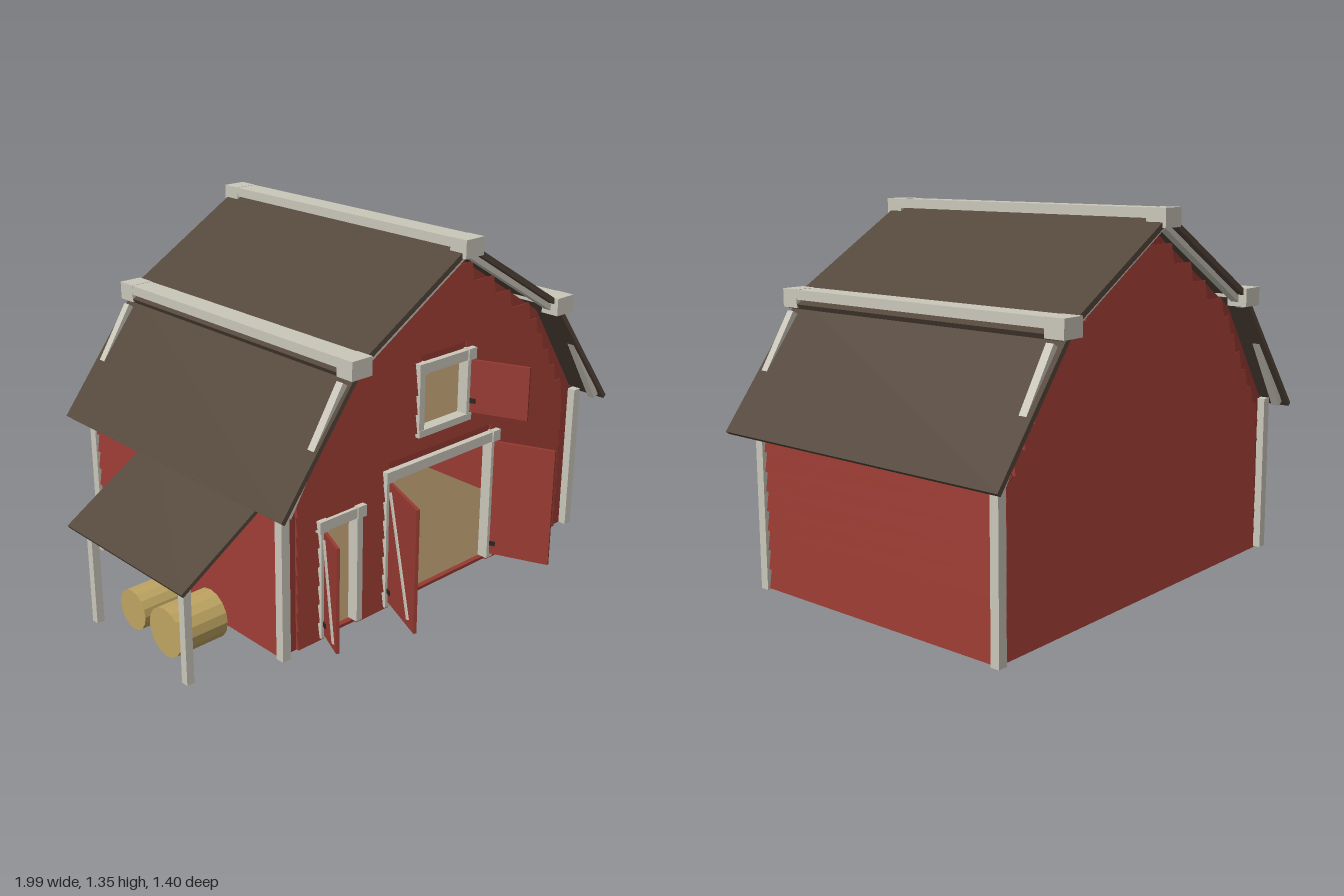
import * as THREE from 'three';

const mat = (name, color, extra = {}) => Object.assign(new THREE.MeshStandardMaterial({ color, ...extra }), { name });

export function createModel() {
  const red = mat('barn red', 0x973a32, { side: THREE.DoubleSide });
  const roofBrown = mat('roof brown', 0x54473b);
  const trim = mat('trim off-white', 0xcac6ba);
  const hay = mat('hay', 0xbfa562, { flatShading: true });
  const plank = mat('floor tan', 0x8a7353);
  const iron = mat('iron', 0x2b2422);

  const model = new THREE.Group();
  model.name = 'barn';
  const CX = 0.1475; // centre line of the main building
  const FRONT = 0.455, BACK = -0.605, MID = (FRONT + BACK) / 2;

  const add = (name, geo, material, parent = model) => {
    const m = new THREE.Mesh(geo, material);
    m.name = name;
    parent.add(m);
    return m;
  };
  // box given by its extents
  const box = (name, material, x0, x1, y0, y1, z0, z1, parent = model) => {
    const m = add(name, new THREE.BoxGeometry(x1 - x0, y1 - y0, z1 - z0), material, parent);
    m.position.set((x0 + x1) / 2, (y0 + y1) / 2, (z0 + z1) / 2);
    return m;
  };
  // sloped slab whose top edge runs from (xa, ya) to (xb, yb)
  const slab = (name, material, xa, ya, xb, yb, t, z0, z1) => {
    const len = Math.hypot(xb - xa, yb - ya);
    const geo = new THREE.BoxGeometry(len, t, z1 - z0);
    geo.translate(0, (xb > xa ? -1 : 1) * t / 2, 0);
    const m = add(name, geo, material);
    m.position.set((xa + xb) / 2, (ya + yb) / 2, (z0 + z1) / 2);
    m.rotation.z = Math.atan2(yb - ya, xb - xa);
    return m;
  };

  // openings in the front wall: x0, x1, y0, y1
  const openings = [
    [-0.12, 0.42, 0.012, 0.51],
    [-0.435, -0.28, 0.012, 0.425],
    [0.03, 0.265, 0.65, 0.87],
  ];

  // gable walls
  const gable = (holes) => {
    const s = new THREE.Shape();
    [[-0.765, 0], [0.765, 0], [0.765, 0.59], [0.515, 0.965], [0, 1.285], [-0.515, 0.965], [-0.765, 0.59]]
      .forEach(([u, y], i) => (i ? s.lineTo(u + CX, y) : s.moveTo(u + CX, y)));
    s.closePath();
    for (const [a, b, c, d] of holes) {
      const h = new THREE.Path();
      h.moveTo(a, c); h.lineTo(a, d); h.lineTo(b, d); h.lineTo(b, c); h.closePath();
      s.holes.push(h);
    }
    return new THREE.ExtrudeGeometry(s, { depth: 0.02, bevelEnabled: false });
  };
  add('frontWall', gable(openings), red).position.z = FRONT - 0.02;
  add('backWall', gable([]), red).position.z = BACK;
  for (const s of [-1, 1]) {
    const x = CX + s * 0.755;
    box('sideWall', red, x - 0.01, x + 0.01, 0, 0.6, BACK, FRONT);
  }

  // floors
  box('groundFloor', plank, CX - 0.74, CX + 0.74, 0.001, 0.012, BACK + 0.02, FRONT - 0.015);
  box('loftFloor', plank, CX - 0.74, CX + 0.74, 0.575, 0.59, BACK + 0.02, FRONT - 0.02);

  // lapped siding boards; each is a wedge, thickest at its lower edge
  const board = (parent, a, b, y, h) => {
    const s = new THREE.Shape();
    s.moveTo(0, 0); s.lineTo(0.014, 0); s.lineTo(0.003, h); s.lineTo(0, h); s.closePath();
    const geo = new THREE.ExtrudeGeometry(s, { depth: b - a, bevelEnabled: false });
    geo.rotateY(-Math.PI / 2);
    add('sidingBoard', geo, red, parent).position.set(b, y, 0);
  };
  const siding = (name, x, z, angle) => {
    const g = new THREE.Group();
    g.name = name;
    g.position.set(x, 0, z);
    g.rotation.y = angle;
    model.add(g);
    return g;
  };
  const PITCH = 0.0715;
  const gableHalf = [0.69, 0.645, 0.6, 0.555, 0.515, 0.465, 0.35, 0.255, 0.135];
  const frontSiding = siding('frontSiding', CX, FRONT, 0);
  const backSiding = siding('backSiding', CX, BACK, Math.PI);
  for (let i = 0; i < 17; i++) {
    const y = i * PITCH + 0.003, half = i < 8 ? 0.73 : gableHalf[i - 8];
    board(backSiding, -half, half, y, PITCH);
    // front rows stop at the openings
    let from = -(i < 8 ? 0.7 : half);
    const end = -from;
    const cuts = openings.filter((o) => y + PITCH > o[2] + 0.01 && y < o[3]).sort((p, q) => p[0] - q[0]);
    for (const o of cuts) {
      board(frontSiding, from, o[0] - CX, y, PITCH);
      from = o[1] - CX;
    }
    board(frontSiding, from, end, y, PITCH);
  }
  for (const s of [-1, 1]) {
    const g = siding('sideSiding', CX + s * 0.765, MID, s * Math.PI / 2);
    for (let i = 0; i < 8; i++) board(g, -0.525, 0.525, 0.006 + i * 0.0705, 0.0705);
  }

  // corner posts
  for (const s of [-1, 1]) for (const z of [0.47, -0.617]) {
    const x = CX + s * 0.768;
    box('cornerPost', trim, x - 0.0175, x + 0.0175, 0, 0.59, z - 0.017, z + 0.017);
  }

  // gambrel roof, rake beams and ridge caps
  const RF = 0.565, RB = -0.69;
  const cap = (name, x, half, y0, y1) => {
    box(name, trim, x - half, x + half, y0 + 0.03, y1, -0.7, 0.58);
    for (const [a, b] of [[-0.702, -0.625], [0.51, 0.582]]) {
      box(name + 'End', trim, x - half - 0.001, x + half + 0.001, y0, y1 + 0.001, a, b);
    }
  };
  for (const s of [-1, 1]) {
    slab('upperRoof', roofBrown, CX, 1.325, CX + s * 0.565, 0.988, 0.02, RB, RF);
    slab('lowerRoof', roofBrown, CX + s * 0.51, 1.012, CX + s * 0.8525, 0.568, 0.018, RB, RF);
    for (const z of [0.535, -0.655]) {
      slab('upperRakeBeam', trim, CX, 1.3, CX + s * 0.53, 0.982, 0.02, z - 0.015, z + 0.015);
      slab('lowerRakeBeam', trim, CX + s * 0.575, 0.965, CX + s * 0.82, 0.575, 0.026, z - 0.015, z + 0.015);
    }
    cap('breakCap', CX + s * 0.521, 0.044, 0.975, 1.04);
  }
  cap('ridgeCap', CX, 0.044, 1.28, 1.344);

  // opening frames with corner blocks
  const frame = (name, [a, b, c, d], w, sill) => {
    const z0 = FRONT - 0.022, z1 = 0.477;
    box(name + 'Jamb', trim, a - w, a + 0.006, c, d, z0, z1);
    box(name + 'Jamb', trim, b - 0.006, b + w, c, d, z0, z1);
    box(name + 'Header', trim, a - w, b + w, d - 0.005, d + 0.033, z0, z1 + 0.002);
    if (sill) box(name + 'Sill', trim, a - w, b + w, c - 0.02, c + 0.006, z0, z1 + 0.002);
    for (const x of [a - w / 2, b + w / 2]) {
      box(name + 'Block', trim, x - 0.02, x + 0.02, d - 0.006, d + 0.037, z0, z1 + 0.008);
    }
  };
  frame('barnDoor', openings[0], 0.025, false);
  frame('smallDoor', openings[1], 0.02, false);
  frame('hatch', openings[2], 0.02, true);

  // open leaves, hinged at (x, z) and swung along (dx, dz)
  const leaf = (name, x, dx, dz, y0, y1) => {
    const g = new THREE.Group();
    g.name = name;
    g.position.set(x, y0, 0.482);
    g.rotation.y = Math.atan2(-dz, dx);
    model.add(g);
    const w = Math.hypot(dx, dz), h = y1 - y0, out = dx > 0 ? -1 : 1;
    box(name + 'Panel', red, 0, w, 0, h, -0.006, 0.006, g);
    const bx = w * 0.74, by = h * 0.87;
    const brace = add(name + 'Brace', new THREE.BoxGeometry(Math.hypot(bx, by), 0.016, 0.006), trim, g);
    brace.position.set(w * 0.43, h / 2, out * 0.008);
    brace.rotation.z = Math.atan2(by, -bx);
    box(name + 'Hinge', iron, 0, 0.022, 0.036, 0.054, -0.01, 0.01, g);
  };
  leaf('leftBarnDoor', -0.13, -0.09, 0.215, 0.035, 0.505);
  leaf('rightBarnDoor', 0.425, 0.09, 0.215, 0.035, 0.505);
  leaf('smallDoor', -0.44, -0.052, 0.117, 0.025, 0.42);
  leaf('hatchDoor', 0.272, 0.083, 0.2, 0.665, 0.865);

  // lean-to shelter
  slab('shelterRoof', roofBrown, -0.62, 0.602, -0.994, 0.366, 0.014, -0.24, 0.42);
  for (const z of [-0.165, 0.365]) box('shelterPost', trim, -0.957, -0.928, 0, 0.385, z - 0.0145, z + 0.0145);

  // round hay bales lying along x
  const bale = (x0, x1, r, z) => {
    const geo = new THREE.CylinderGeometry(r, r, x1 - x0, 16);
    geo.rotateZ(Math.PI / 2);
    add('hayBale', geo, hay).position.set((x0 + x1) / 2, 0.011 + r, z);
  };
  bale(-0.91, -0.715, 0.09, 0.2);
  bale(-0.89, -0.69, 0.075, -0.02);
  bale(0.11, 0.355, 0.08, -0.4);
  bale(-0.09, 0.13, 0.069, -0.48);

  return model;
}
